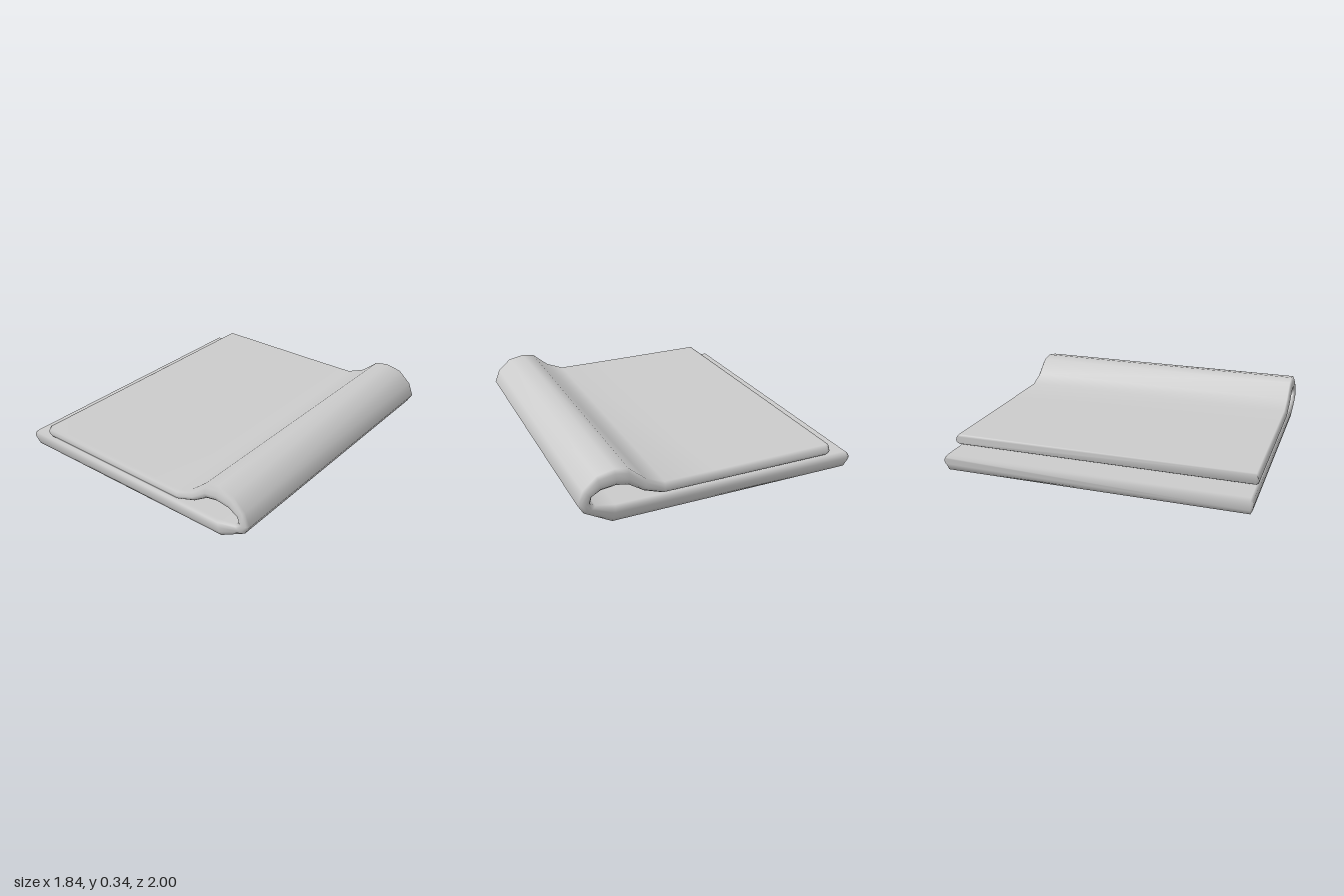
import * as THREE from 'three';

// Stations along the fold: [outer x, outer y, inner x, inner y]
const STATIONS = [
  [-0.915, 0.03, -0.92, 0.09],
  [-0.9, 0, -0.9, 0.106],
  [0.71, 0, 0.69, 0.106],
  [0.88, 0.095, 0.81, 0.13],
  [0.915, 0.155, 0.84, 0.15],
  [0.88, 0.24, 0.83, 0.19],
  [0.795, 0.315, 0.775, 0.22],
  [0.69, 0.336, 0.68, 0.232],
  [0.605, 0.322, 0.605, 0.217],
  [0.5, 0.232, 0.51, 0.155],
  [0.38, 0.183, 0.39, 0.113],
  [0.03, 0.183, 0.03, 0.113],
  [-0.745, 0.187, -0.74, 0.113],
  [-0.76, 0.186, -0.76, 0.124],
];

// Rounded edge section: [0 outer .. 1 inner, z]
const EDGE = [[0, 0.98], [0.25, 0.993], [0.6, 1], [0.85, 0.995], [1, 0.98]];
const RING = [...EDGE, ...EDGE.slice().reverse().map(([t, z]) => [t, -z])];

// Sweeps the ring through all stations and caps both free ends
function foldedSheetGeometry() {
  const n = RING.length, last = (STATIONS.length - 1) * n;
  const positions = [], index = [];
  for (const [ox, oy, ix, iy] of STATIONS) {
    for (const [t, z] of RING) positions.push(ox + (ix - ox) * t, oy + (iy - oy) * t, z);
  }
  for (let s = 0; s < last; s += n) {
    for (let j = 0; j < n; j++) {
      const a = s + j, b = s + (j + 1) % n;
      index.push(a, a + n, b, b, a + n, b + n);
    }
  }
  for (let j = 1; j < n - 1; j++) {
    index.push(0, j, j + 1);
    index.push(last, last + j + 1, last + j);
  }
  const geometry = new THREE.BufferGeometry();
  geometry.setAttribute('position', new THREE.Float32BufferAttribute(positions, 3));
  geometry.setIndex(index);
  geometry.computeVertexNormals();
  return geometry;
}

export function createModel() {
  const group = new THREE.Group();
  group.name = 'foldedCloth';
  const material = new THREE.MeshStandardMaterial({ color: 0xcccccc });
  const sheet = new THREE.Mesh(foldedSheetGeometry(), material);
  sheet.name = 'foldedSheet';
  group.add(sheet);
  return group;
}
